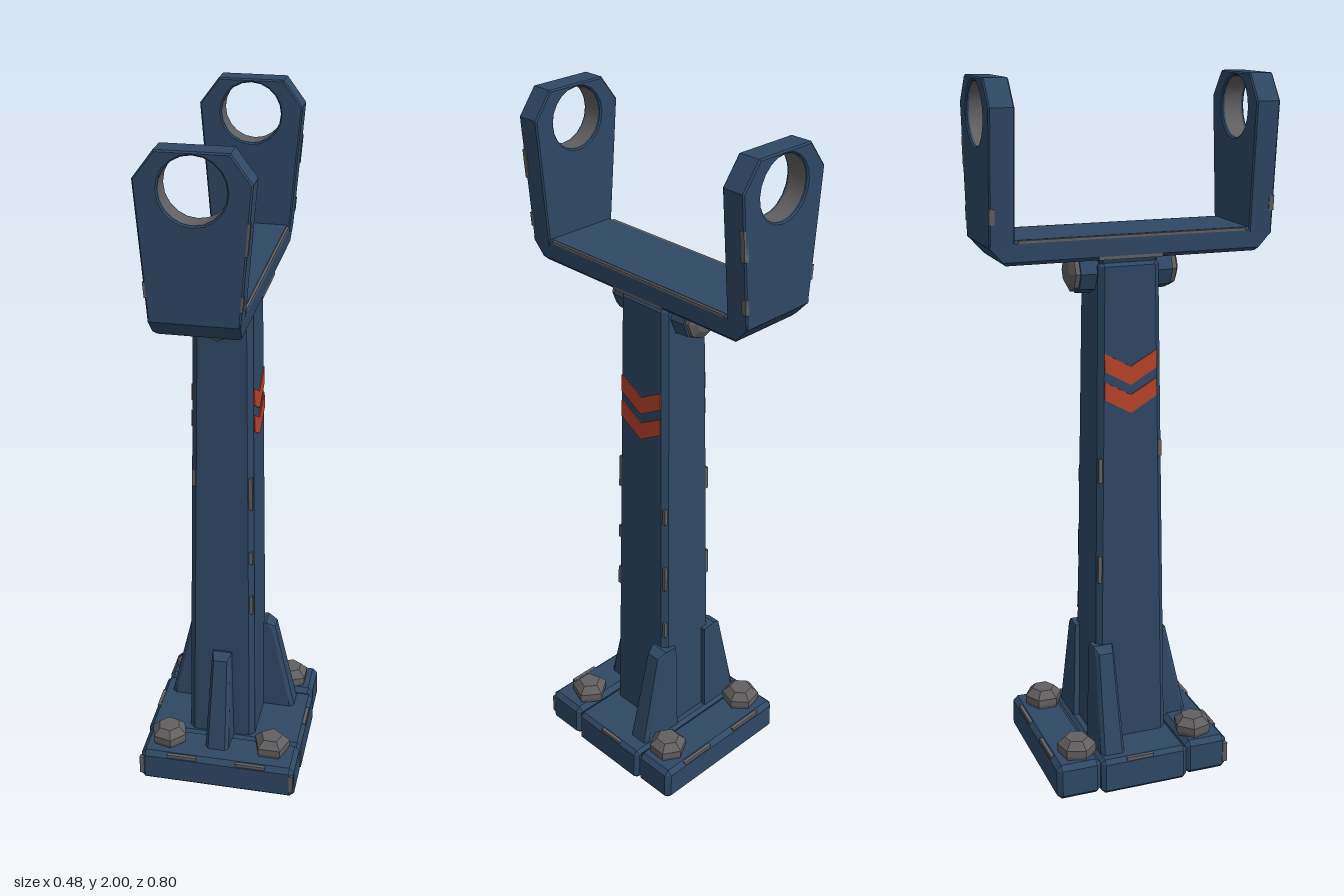
import * as THREE from 'three';
import { ConvexGeometry } from 'three/addons/geometries/ConvexGeometry.js';

const navy = new THREE.MeshStandardMaterial({ color: 0x2e4864 });
navy.name = 'navy paint';
const steel = new THREE.MeshStandardMaterial({ color: 0x625f61 });
steel.name = 'bare steel';
const orange = new THREE.MeshStandardMaterial({ color: 0xb8432a });
orange.name = 'orange marking';

const V = (x, y, z) => new THREE.Vector3(x, y, z);

function add(parent, name, geometry, material) {
  const mesh = new THREE.Mesh(geometry, material);
  mesh.name = name;
  parent.add(mesh);
  return mesh;
}

// Chamfered block that may taper from its bottom to its top half sizes
function block(cx, cz, [bx, bz], [tx, tz], y0, y1, c) {
  const pts = [];
  for (const top of [0, 1]) {
    const hx = top ? tx : bx, hz = top ? tz : bz;
    const y = top ? y1 : y0, yIn = top ? y1 - c : y0 + c;
    for (const sx of [-1, 1]) for (const sz of [-1, 1]) {
      pts.push(V(cx + sx * (hx - c), y, cz + sz * (hz - c)));
      pts.push(V(cx + sx * hx, yIn, cz + sz * (hz - c)));
      pts.push(V(cx + sx * (hx - c), yIn, cz + sz * hz));
    }
  }
  return new ConvexGeometry(pts);
}

// Low-poly bolt head standing on y = 0
function boltHead(r, h, sides) {
  const pts = [];
  for (const [k, y] of [[0.92, 0], [1, h * 0.25], [1, h * 0.6], [0.6, h]]) {
    for (let i = 0; i < sides; i++) {
      const a = (i / sides) * Math.PI * 2;
      pts.push(V(Math.cos(a) * r * k, y, Math.sin(a) * r * k));
    }
  }
  return new ConvexGeometry(pts);
}

// Worn strip of bare metal laid along an edge
function chip(parent, a, b, w = 0.014) {
  const dir = b.clone().sub(a);
  const mesh = add(parent, 'wornEdge', new THREE.BoxGeometry(w, dir.length(), w), steel);
  mesh.position.copy(a).add(b).multiplyScalar(0.5);
  mesh.quaternion.setFromUnitVectors(V(0, 1, 0), dir.normalize());
  return mesh;
}

export function createModel() {
  const model = new THREE.Group();
  model.name = 'supportStand';
  const wear = new THREE.Group();
  wear.name = 'wornEdges';

  // Base plate in three sections
  const base = new THREE.Group();
  base.name = 'base';
  add(base, 'baseBack', block(0, -0.203, [0.236, 0.066], [0.234, 0.066], 0.006, 0.112, 0.014), navy);
  add(base, 'baseMiddle', block(0, -0.005, [0.24, 0.132], [0.238, 0.132], 0, 0.106, 0.012), navy);
  add(base, 'baseFront', block(0.003, 0.191, [0.236, 0.065], [0.234, 0.065], 0.006, 0.112, 0.014), navy);

  // Base bolts
  const bolts = [[-0.165, -0.19, 6, 0.2], [0.157, -0.19, 6, 0.5], [-0.16, 0.173, 6, 0.8], [0.155, 0.165, 5, 0.3]];
  for (const [x, z, sides, turn] of bolts) {
    const bolt = add(base, 'baseBolt', boltHead(0.056, 0.053, sides), steel);
    bolt.position.set(x, 0.11, z);
    bolt.rotation.y = turn;
  }
  model.add(base);

  // Tapered column
  const cx = -0.01;
  const halfX = (y) => 0.101 - 0.02 * (y - 0.1) / 1.42;
  const halfZ = (y) => 0.109 - 0.022 * (y - 0.1) / 1.42;
  add(model, 'column', block(cx, 0, [halfX(0.1), halfZ(0.1)], [halfX(1.52), halfZ(1.52)], 0.09, 1.52, 0.015), navy);
  add(model, 'columnCap', block(cx, 0, [0.07, 0.08], [0.078, 0.086], 1.5, 1.54, 0.008), navy);

  // Gussets: one in front, one on each side
  const gusset = (name, x, z, turn) => {
    const pts = [];
    for (const s of [-1, 1]) {
      pts.push(V(s * 0.036, 0.1, -0.03), V(s * 0.028, 0.405, -0.03));
      pts.push(V(s * 0.036, 0.1, 0.095), V(s * 0.028, 0.39, 0.03), V(s * 0.028, 0.41, 0.012));
      pts.push(V(s * 0.026, 0.1, 0.107), V(s * 0.02, 0.395, 0.04));
    }
    const mesh = add(model, name, new ConvexGeometry(pts), navy);
    mesh.position.set(x, 0, z);
    mesh.rotation.y = turn;
  };
  gusset('frontGusset', -0.008, 0.098, 0);
  gusset('leftGusset', 0.082, -0.09, Math.PI / 2);
  gusset('rightGusset', -0.1, -0.09, -Math.PI / 2);

  // Double chevron painted on both side faces
  for (const side of [-1, 1]) for (const y of [1.27, 1.19]) {
    const w = 0.076;
    const shape = new THREE.Shape([[-w, y], [-w, y - 0.05], [0, y - 0.094], [w, y - 0.05], [w, y], [0, y - 0.042]]
      .map(([px, py]) => new THREE.Vector2(px, py)));
    const g = new THREE.ExtrudeGeometry(shape, { depth: 0.006, bevelEnabled: false });
    g.rotateY(side * Math.PI / 2);
    const p = g.attributes.position;
    for (let i = 0; i < p.count; i++) p.setX(i, p.getX(i) + cx + side * (halfX(p.getY(i)) - 0.003));
    add(model, 'chevron', g, orange);
  }

  // Pivot bolts under the cradle, front and back
  for (const side of [-1, 1]) {
    const pivot = new THREE.Group();
    pivot.name = side > 0 ? 'frontPivot' : 'backPivot';
    const collar = add(pivot, 'pivotCollar', new THREE.CylinderGeometry(0.06, 0.064, 0.06, 8).toNonIndexed(), navy);
    collar.geometry.computeVertexNormals();
    collar.position.y = 0.02;
    const head = add(pivot, 'pivotBolt', boltHead(0.055, 0.03, 8), steel);
    head.position.y = 0.045;
    pivot.position.set(-0.012, 1.485, side * 0.082);
    pivot.rotation.x = side * Math.PI / 2;
    model.add(pivot);
  }

  // Cradle floor with chamfered ends
  const cradle = new THREE.Group();
  cradle.name = 'cradle';
  const mx = -0.014;
  const floorPts = [];
  for (const sx of [-1, 1]) for (const sz of [-1, 1]) {
    floorPts.push(V(mx + sx * 0.103, 1.53, sz * 0.352), V(mx + sx * 0.112, 1.54, sz * 0.362));
    floorPts.push(V(mx + sx * 0.114, 1.58, sz * 0.397), V(mx + sx * 0.114, 1.588, sz * 0.397));
    floorPts.push(V(mx + sx * 0.106, 1.596, sz * 0.39));
  }
  add(cradle, 'cradleFloor', new ConvexGeometry(floorPts), navy);

  // Cradle arms, wider towards the top, each with a round eye
  for (const side of [-1, 1]) {
    const arm = new THREE.Shape([[-0.114, 1.575], [0.114, 1.575], [0.143, 1.93], [0.09, 2], [-0.09, 2], [-0.143, 1.93]]
      .map(([x, y]) => new THREE.Vector2(x, y)));
    arm.holes.push(new THREE.Path().absarc(0, 1.908, 0.083, 0, Math.PI * 2, true));
    const g = new THREE.ExtrudeGeometry(arm, {
      depth: 0.06, bevelThickness: 0.004, bevelSize: 0.004, bevelOffset: -0.004, bevelSegments: 1, curveSegments: 10,
    });
    const mesh = add(cradle, side > 0 ? 'frontArm' : 'backArm', g, navy);
    mesh.position.set(mx, 0, side > 0 ? 0.334 : -0.394);

    // Worn steel lining inside the eye
    const liner = add(cradle, 'eyeLining', new THREE.CylinderGeometry(0.0825, 0.0825, 0.05, 20, 1, true), steel);
    liner.material = steel;
    liner.geometry.scale(-1, 1, 1);
    liner.geometry.setIndex(Array.from(liner.geometry.index.array.slice(0, 60)).concat(Array.from(liner.geometry.index.array.slice(60))));
    liner.rotation.x = Math.PI / 2;
    liner.position.set(mx, 1.908, side * 0.364);

    // Worn inner corner and lower arm edges
    for (const [sx, y0, y1] of [[-1, 1.64, 1.68], [1, 1.62, 1.66], [1, 1.76, 1.84]]) {
      const ex = (y) => mx + sx * (0.109 + 0.029 * (y - 1.575) / 0.355);
      chip(wear, V(ex(y0), y0, side * 0.391), V(ex(y1), y1, side * 0.391));
    }
  }
  model.add(cradle);

  // Worn patches on the column corners
  const patches = [[1, 1, 0.55, 0.61], [1, 1, 0.72, 0.76], [1, 1, 0.9, 1.0], [1, -1, 0.45, 0.5],
    [1, -1, 0.62, 0.7], [1, -1, 0.85, 0.9], [-1, 1, 0.96, 1.01], [-1, -1, 0.6, 0.68], [-1, -1, 0.9, 0.97]];
  for (const [sx, sz, y0, y1] of patches) {
    const at = (y) => V(cx + sx * (halfX(y) - 0.0085), y, sz * (halfZ(y) - 0.0085));
    chip(wear, at(y0), at(y1), 0.012);
  }

  // Worn patches on the base and cradle floor edges
  for (const s of [-1, 1]) {
    chip(wear, V(s * 0.228, 0.03, 0.249), V(s * 0.228, 0.09, 0.249));
    chip(wear, V(s * 0.06, 0.104, 0.248), V(s * 0.15, 0.104, 0.248), 0.012);
    chip(wear, V(s * 0.05, 0.104, -0.261), V(s * 0.16, 0.104, -0.261), 0.012);
    chip(wear, V(s * 0.231, 0.099, -0.06), V(s * 0.231, 0.099, 0.02), 0.012);
    chip(wear, V(mx + s * 0.11, 1.591, -0.32), V(mx + s * 0.11, 1.591, 0.32), 0.008);
    chip(wear, V(mx + s * 0.107, 1.536, -0.1), V(mx + s * 0.107, 1.536, 0.08), 0.01);
  }
  model.add(wear);
  return model;
}
